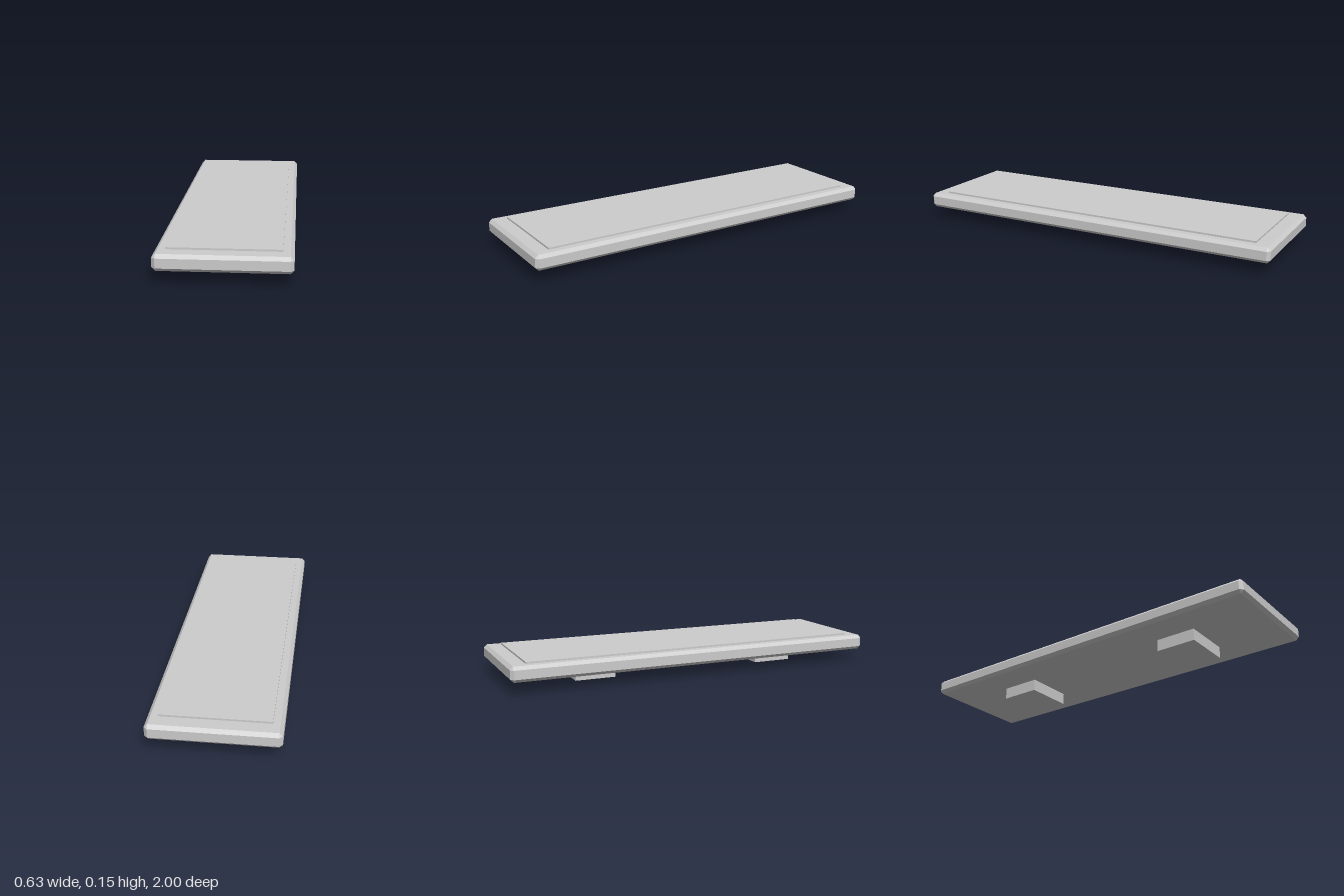
import * as THREE from 'three';
import { ConvexGeometry } from 'three/addons/geometries/ConvexGeometry.js';

// Box with every edge cut to a flat chamfer: each corner becomes a small triangle.
function chamferedBox(width, height, depth, chamfer) {
  const half = [width / 2, height / 2, depth / 2];
  const points = [];
  for (const sx of [-1, 1]) for (const sy of [-1, 1]) for (const sz of [-1, 1]) {
    for (let full = 0; full < 3; full++) {
      const [x, y, z] = half.map((h, axis) => (axis === full ? h : h - chamfer));
      points.push(new THREE.Vector3(sx * x, sy * y, sz * z));
    }
  }
  return new ConvexGeometry(points);
}

export function createModel() {
  const group = new THREE.Group();
  group.name = 'slab';
  const grey = new THREE.MeshStandardMaterial({ color: 0xcccccc });
  grey.name = 'light grey';

  const add = (name, geometry, y, z = 0) => {
    const mesh = new THREE.Mesh(geometry, grey);
    mesh.name = name;
    mesh.position.set(0, y, z);
    group.add(mesh);
  };

  // Chamfered slab, spanning y 0.0625 to 0.141
  add('body', chamferedBox(0.626, 0.0785, 2, 0.0165), 0.10175);

  // Thin raised panel on top
  add('topPanel', new THREE.BoxGeometry(0.524, 0.009, 1.83), 0.1455);

  // Two blocks underneath
  for (const [name, side] of [['frontFoot', 1], ['backFoot', -1]]) {
    add(name, new THREE.BoxGeometry(0.26, 0.0625, 0.215), 0.03125, side * 0.5225);
  }
  return group;
}
